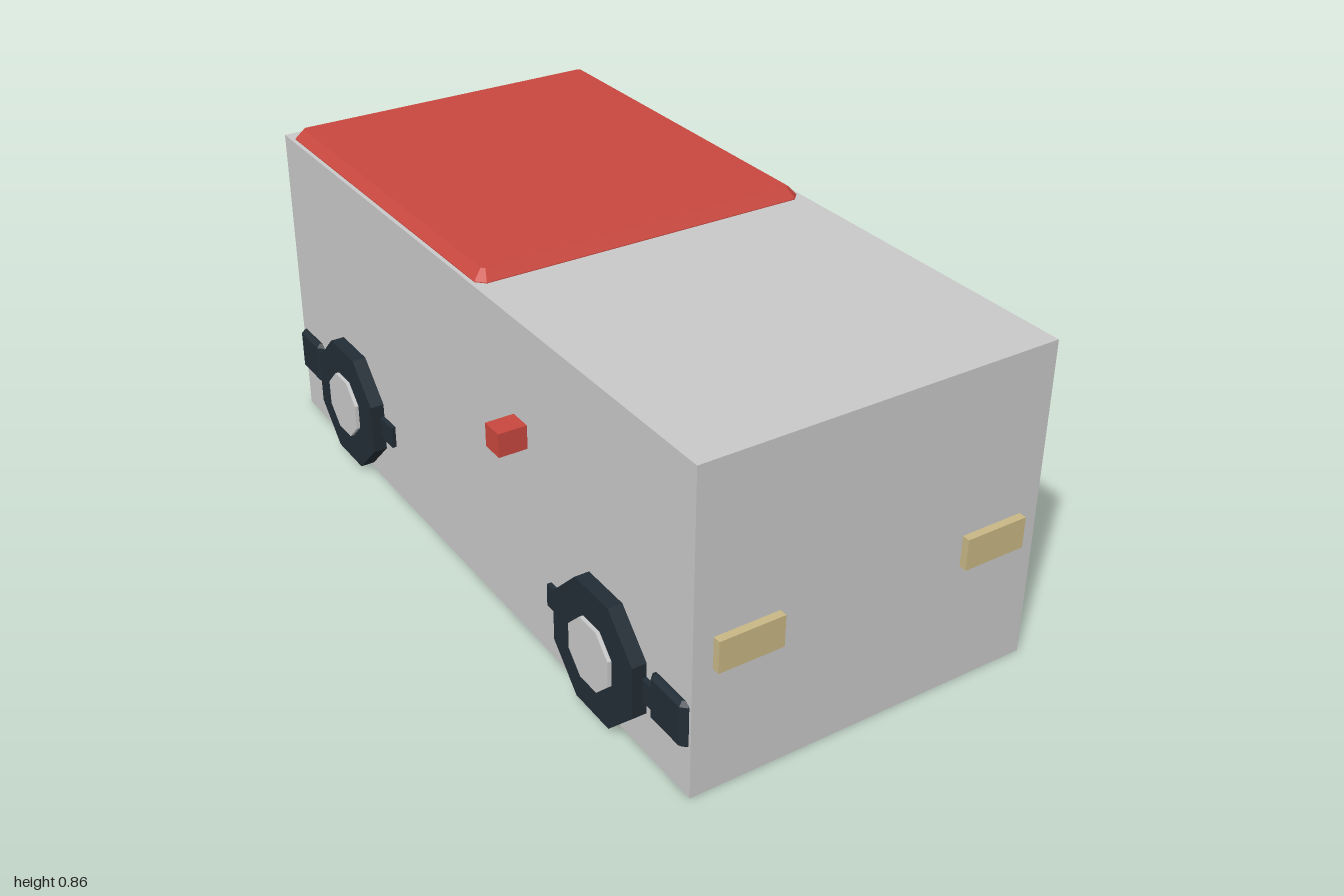
import * as THREE from 'three';

function makeMaterial(name, color) {
  const m = new THREE.MeshStandardMaterial({ color });
  m.name = name;
  return m;
}

// Facet a geometry so every side has its own flat normal
function faceted(geo) {
  const g = geo.index ? geo.toNonIndexed() : geo;
  g.computeVertexNormals();
  return g;
}

// Slab with bevelled edges and clipped corners, centred on its own origin
function bevelledSlab(w, h, d, bevel, thick) {
  const x = w / 2 - bevel, z = d / 2 - bevel, c = 0.008;
  const corners = [[x - c, -z], [x, -z + c], [x, z - c], [x - c, z],
    [-x + c, z], [-x, z - c], [-x, -z + c], [-x + c, -z]];
  const shape = new THREE.Shape(corners.map(([a, b]) => new THREE.Vector2(a, b)));
  const geo = new THREE.ExtrudeGeometry(shape, {
    depth: h - 2 * thick, bevelEnabled: true, bevelSize: bevel, bevelThickness: thick, bevelSegments: 1,
  });
  geo.translate(0, 0, -(h - 2 * thick) / 2);
  geo.rotateX(-Math.PI / 2);
  return faceted(geo);
}

// Octagonal disc lying along x, with flats at top and bottom
function octagon(apothem, width) {
  const r = apothem / Math.cos(Math.PI / 8);
  const geo = new THREE.CylinderGeometry(r, r, width, 8, 1, false, Math.PI / 8);
  geo.rotateZ(Math.PI / 2);
  return faceted(geo);
}

export function createModel() {
  const model = new THREE.Group();
  model.name = 'van';

  const grey = makeMaterial('bodyGrey', 0xc9c9c9);
  const red = makeMaterial('trimRed', 0xc9483f);
  const sand = makeMaterial('lampSand', 0xc9b886);
  const dark = makeMaterial('rubberDark', 0x222d35);

  const add = (name, geo, mat, x, y, z) => {
    const mesh = new THREE.Mesh(geo, mat);
    mesh.name = name;
    mesh.position.set(x, y, z);
    model.add(mesh);
  };
  const box = (w, h, d) => new THREE.BoxGeometry(w, h, d);

  // Body and roof panel
  add('body', box(0.93, 0.83, 1.96), grey, 0, 0.415, 0);
  add('roofPanel', bevelledSlab(0.908, 0.056, 1.052, 0.022, 0.025), red, 0, 0.829, -0.43);

  // Bumpers wrap slightly past the body sides
  for (const [end, z] of [['front', 0.905], ['rear', -0.908]]) {
    add(end + 'Bumper', bevelledSlab(0.962, 0.122, 0.134, 0.01, 0.01), dark, 0, 0.188, z);
  }

  for (const [side, s] of [['left', 1], ['right', -1]]) {
    // Wheels, hubs and the low bar behind each wheel
    for (const [end, wheelZ, barZ] of [['Front', 0.648, 0.63], ['Rear', -0.626, -0.615]]) {
      add(side + end + 'Tyre', octagon(0.164, 0.12), dark, s * 0.442, 0.179, wheelZ);
      add(side + end + 'Hub', octagon(0.082, 0.12), grey, s * 0.452, 0.179, wheelZ);
      add(side + end + 'Bar', box(0.06, 0.06, 0.46), dark, s * 0.447, 0.18, barZ - Math.sign(barZ) * -0.012);
    }
    // Lamps and mirrors
    add(side + 'Headlamp', box(0.167, 0.081, 0.04), sand, s * 0.331, 0.365, 0.98);
    add(side + 'TailLamp', box(0.167, 0.078, 0.04), red, s * 0.331, 0.41, -0.98);
    add(side + 'Mirror', box(0.09, 0.061, 0.06), red, s * 0.493, 0.551, 0.29);
  }
  return model;
}
